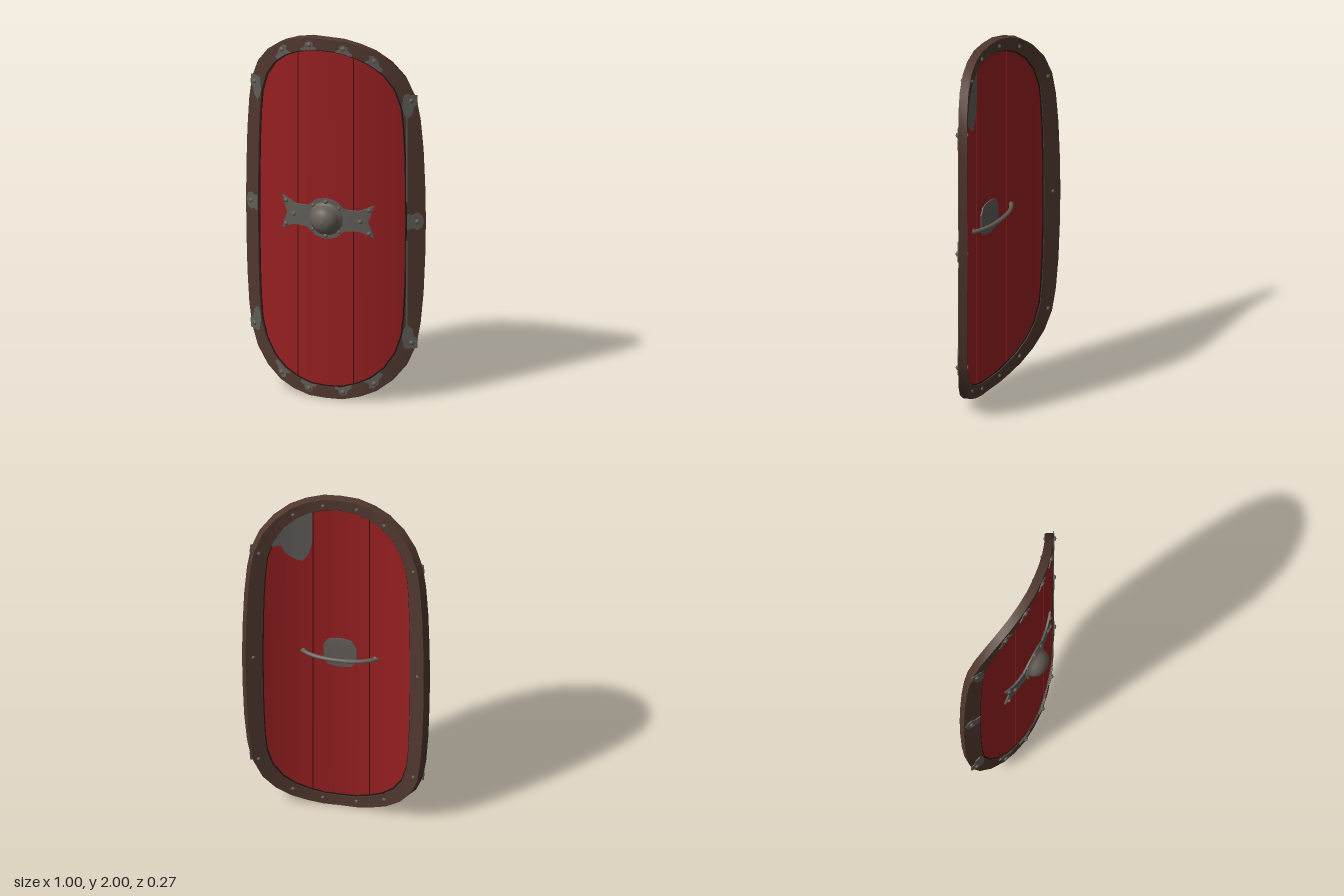
import * as THREE from 'three';
import { toCreasedNormals } from 'three/addons/utils/BufferGeometryUtils.js';

const R = 0.866, Z0 = 0.035, CY = 1;

const mat = (name, color) => {
  const m = new THREE.MeshStandardMaterial({ color });
  m.name = name;
  return m;
};

// Wraps a flat point (x, y from centre, depth d) onto the curved face
function bend(x, y, d) {
  const a = Math.asin(x / R);
  return [x + d * Math.sin(a), CY + y, Z0 + (R + d) * Math.cos(a) - R];
}

function warp(geo, rule = (x, y, z) => [x, y, z]) {
  const p = geo.attributes.position;
  for (let i = 0; i < p.count; i++) p.setXYZ(i, ...bend(...rule(p.getX(i), p.getY(i), p.getZ(i))));
  return toCreasedNormals(geo, 0.5);
}

// Piecewise linear lookup through [x, y] points
function lookup(pts, x) {
  for (let i = 1; i < pts.length; i++) {
    const [x0, y0] = pts[i - 1], [x1, y1] = pts[i];
    if (x <= x1) return y0 + (y1 - y0) * (x - x0) / (x1 - x0);
  }
  return pts[pts.length - 1][1];
}

// Quarter outlines of the rim
const OUTER = [[0, 1], [0.09, 0.998], [0.18, 0.976], [0.26, 0.942], [0.34, 0.88], [0.405, 0.795],
  [0.446, 0.69], [0.465, 0.57], [0.478, 0.4], [0.485, 0.2], [0.488, 0]];
const INNER = [[0, 0.937], [0.085, 0.932], [0.165, 0.908], [0.235, 0.873], [0.3, 0.817], [0.352, 0.735],
  [0.382, 0.635], [0.392, 0.53], [0.399, 0.38], [0.403, 0.2], [0.404, 0]];
const MIDDLE = OUTER.map(([x, y], i) => [(x + INNER[i][0]) / 2, (y + INNER[i][1]) / 2]);
const edge = x => lookup(MIDDLE, Math.abs(x));

// Full clockwise loop from a quarter outline
function fullLoop(q) {
  const right = [...q, ...q.slice(0, -1).reverse().map(([x, y]) => [x, -y])];
  return [...right, ...right.slice(1, -1).reverse().map(([x, y]) => [-x, y])];
}

// Closed band between two outlines
function band(inner, outer, half) {
  const a = fullLoop(inner), b = fullLoop(outer), n = a.length, pos = [], idx = [];
  for (let i = 0; i < n; i++) {
    pos.push(...bend(...a[i], half), ...bend(...b[i], half), ...bend(...b[i], -half), ...bend(...a[i], -half));
    for (let j = 0; j < 4; j++) {
      const i2 = (i + 1) % n, j2 = (j + 1) % 4;
      const p = i * 4 + j, q = i2 * 4 + j, r = i2 * 4 + j2, s = i * 4 + j2;
      idx.push(p, q, r, p, r, s);
    }
  }
  const g = new THREE.BufferGeometry();
  g.setAttribute('position', new THREE.Float32BufferAttribute(pos, 3));
  g.setIndex(idx);
  return toCreasedNormals(g, 0.5);
}

// Curved slab with top and bottom edges given as functions of x
function slab(x0, x1, top, bottom, d0, d1, n = 12) {
  return warp(new THREE.BoxGeometry(1, 1, 1, n, 1, 1), (u, v, w) => {
    const x = x0 + (x1 - x0) * (u + 0.5);
    return [x, v > 0 ? top(x) : bottom(x), w < 0 ? d0 : d1];
  });
}

// Thin plate cut from a flat outline
function plate(pts, d, depth = 0.006) {
  const shape = new THREE.Shape(pts.map(p => new THREE.Vector2(...p)));
  const g = new THREE.ExtrudeGeometry(shape, { depth, bevelEnabled: false });
  g.translate(0, 0, d);
  return warp(g);
}

export function createModel() {
  const red = mat('red paint', 0x961f21), brown = mat('rim leather', 0x50382f);
  const iron = mat('worn iron', 0x605d58), steel = mat('boss iron', 0x655e57);
  const dark = mat('dark edge', 0x211613), seamMat = mat('seam shadow', 0x3a0d0e);
  const model = new THREE.Group();
  model.name = 'shield';
  const add = (name, geo, material) => {
    const m = new THREE.Mesh(geo, material);
    m.name = name;
    model.add(m);
    return m;
  };
  const rivetGeo = new THREE.SphereGeometry(0.013, 8, 6);
  const rivet = (x, y, d, s = 1) => {
    const m = add('rivet', rivetGeo, steel);
    m.position.set(...bend(x, y, d));
    m.rotation.y = Math.asin(x / R);
    m.scale.set(s, s, s * 0.75);
  };

  // Three planks with dark seams between them
  const below = x => -edge(x);
  [[-0.43, -0.163], [-0.157, 0.142], [0.148, 0.43]].forEach(([a, b]) =>
    add('plank', slab(a, b, edge, below, -0.014, 0.014), red));
  for (const x of [-0.16, 0.145]) add('seam', slab(x - 0.006, x + 0.006, edge, below, -0.01, 0.01, 1), seamMat);

  // Rim and its dark inner lip
  add('rim', band(INNER, OUTER, 0.023), brown);
  add('rimLip', band(INNER.map(([x, y]) => [x * 0.983, y * 0.993]), MIDDLE, 0.0165), dark);
  for (const s of [1, -1]) {
    add('rimEdgeWear', slab(0.4, 0.406, () => s * 0.35 + 0.24, () => s * 0.35 - 0.24, 0.018, 0.0245, 1), iron);
  }

  // Iron brackets riveted round the rim
  const corner = [[0.388, 0.7], [0.4, 0.71], [0.45, 0.705], [0.452, 0.655], [0.435, 0.64], [0.428, 0.6],
    [0.405, 0.575], [0.39, 0.6], [0.381, 0.64]];
  const upper = [[0.2, 0.893], [0.235, 0.873], [0.278, 0.838], [0.292, 0.85], [0.274, 0.875], [0.268, 0.905],
    [0.245, 0.928], [0.222, 0.922], [0.226, 0.903]];
  const crown = [[0.05, 0.935], [0.085, 0.932], [0.135, 0.917], [0.14, 0.93], [0.118, 0.945], [0.113, 0.968],
    [0.09, 0.978], [0.07, 0.967], [0.072, 0.95], [0.052, 0.945]];
  const side = [[0.404, 0.045], [0.43, 0.036], [0.45, 0.048], [0.47, 0.035], [0.481, 0],
    [0.47, -0.035], [0.45, -0.048], [0.43, -0.036], [0.404, -0.045]];
  const bracket = (pts, rx, ry, sx, sy) => {
    add('rimBracket', plate(pts.map(([x, y]) => [x * sx, y * sy]), 0.0205), iron);
    rivet(rx * sx, ry * sy, 0.027);
    rivet(rx * sx, ry * sy, -0.024, 0.8);
  };
  for (const sx of [1, -1]) {
    for (const sy of [1, -1]) {
      bracket(corner, 0.424, 0.675, sx, sy);
      bracket(upper, 0.25, 0.9, sx, sy);
      bracket(crown, 0.092, 0.958, sx, sy);
    }
    bracket(side, 0.45, 0, sx, 1);
  }

  // Flared plate under the boss
  const flare = [[0, 0.112], [0.055, 0.1], [0.1, 0.06], [0.175, 0.056], [0.215, 0.075], [0.25, 0.09]];
  add('bossPlate', warp(new THREE.BoxGeometry(0.5, 2, 1, 30, 2, 1), (x, v, w) =>
    [x * (0.88 + 0.12 * Math.abs(v)), v * lookup(flare, Math.abs(x)), w < 0 ? 0.012 : 0.024]), iron);
  for (const s of [1, -1]) {
    for (const t of [1, -1]) rivet(s * 0.225, t * 0.065, 0.026);
    rivet(s * 0.18, 0, 0.026);
    rivet(0, s * 0.095, 0.026);
    for (const t of [1, -1]) rivet(s * 0.07, t * 0.066, 0.026, 0.8);
  }

  // Domed boss
  const profile = [[0.094, 0.05], [0.09, 0.063], [0.08, 0.066], [0.077, 0.078], [0.069, 0.098], [0.055, 0.116],
    [0.03, 0.129], [0, 0.133]].map(p => new THREE.Vector2(...p));
  const boss = add('boss', new THREE.LatheGeometry(profile, 20), steel);
  boss.rotation.x = Math.PI / 2;
  boss.position.y = CY;

  // Bare iron patches on the back
  const disc = [];
  for (let i = 0; i < 14; i++) {
    const a = i / 14 * Math.PI * 2, r = 0.098 + 0.007 * Math.cos(4 * a + Math.PI);
    disc.push([r * Math.cos(a), r * Math.sin(a)]);
  }
  add('backDisc', plate(disc, -0.02, 0.008), iron);
  const lower = [[0.148, 0.72], [0.165, 0.64], [0.2, 0.59], [0.24, 0.605], [0.29, 0.65], [0.31, 0.7], [0.36, 0.7], [0.4, 0.73]];
  add('backCornerPatch', slab(0.148, 0.4, edge, x => Math.min(lookup(lower, x), edge(x)), -0.018, -0.012, 20), iron);

  // Bowed grip
  const path = new THREE.CatmullRomCurve3([[-0.205, 0.004], [-0.175, -0.016], [-0.11, -0.041], [0, -0.052],
    [0.11, -0.041], [0.175, -0.016], [0.2, 0.004]].map(([x, z]) => new THREE.Vector3(x, CY, z)));
  add('grip', new THREE.TubeGeometry(path, 20, 0.011, 8), steel);
  for (const s of [1, -1]) rivet(s * 0.195, 0, -0.017, 1.2);

  return model;
}
